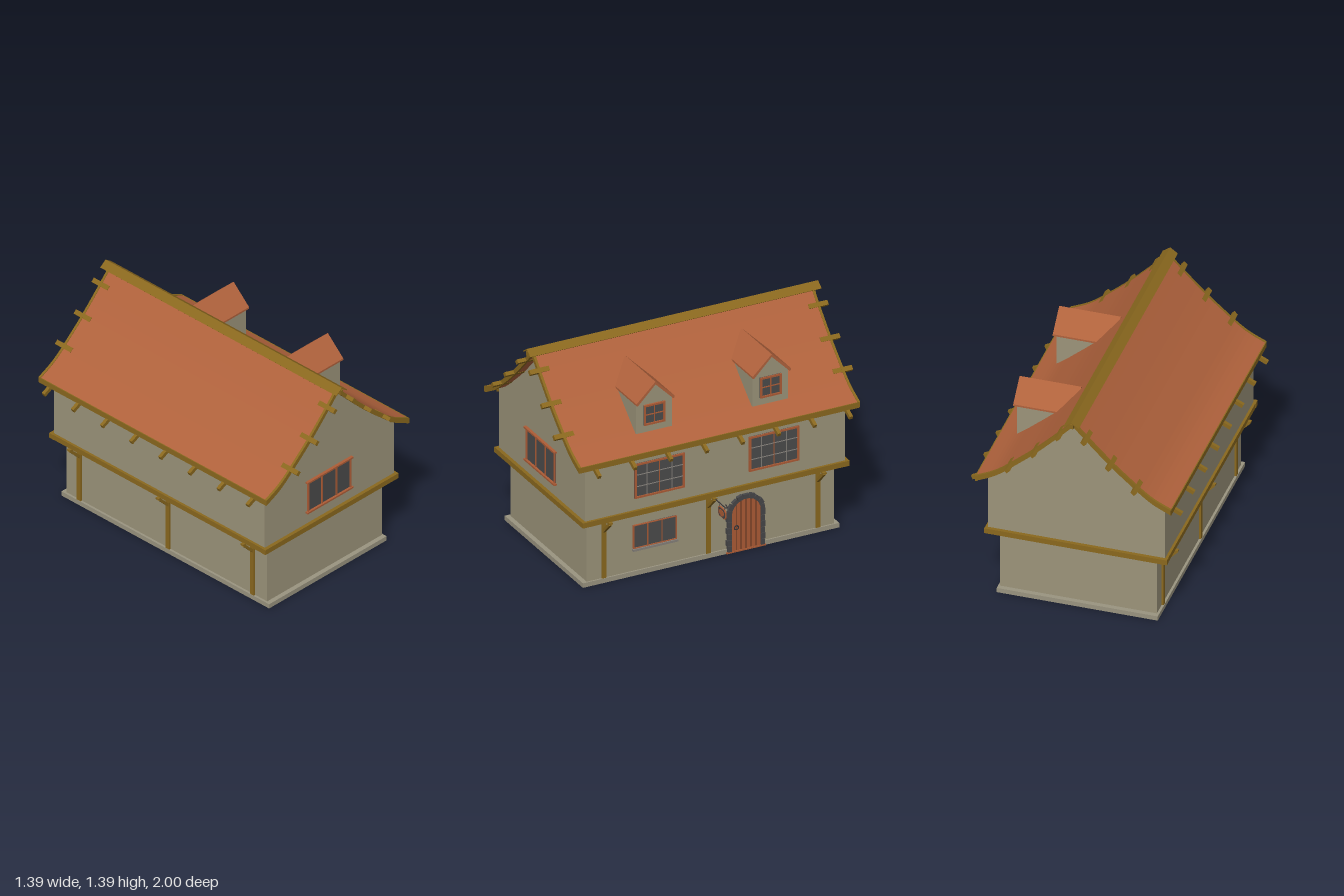
import * as THREE from 'three';

const mat = (name, color) => new THREE.MeshStandardMaterial({ name, color });
const M = {
  plaster: mat('plaster', 0x9c947a),
  stone: mat('plinthStone', 0x9a9480),
  wood: mat('oakBeam', 0x8a681e),
  tile: mat('roofTile', 0xb0623c),
  frame: mat('redTimber', 0xad5c36),
  gap: mat('darkBrown', 0x5c3320),
  glass: mat('darkGlass', 0x4b4b4b),
  lead: mat('leadGrey', 0x85807a),
  rock: mat('darkStone', 0x464648),
  iron: mat('iron', 0x3a3538),
};
const CX = -0.0425; // roof ridge and wall centre line

function add(parent, name, geo, material, x = 0, y = 0, z = 0) {
  const m = new THREE.Mesh(geo, material);
  m.name = name;
  m.position.set(x, y, z);
  parent.add(m);
  return m;
}
// box given by its limits
function box(parent, name, material, x0, x1, y0, y1, z0, z1) {
  return add(parent, name, new THREE.BoxGeometry(x1 - x0, y1 - y0, z1 - z0), material,
    (x0 + x1) / 2, (y0 + y1) / 2, (z0 + z1) / 2);
}
const V = (x, y) => new THREE.Vector2(x, y);
function prism(points, z0, z1) {
  return new THREE.ExtrudeGeometry(new THREE.Shape(points), { depth: z1 - z0, bevelEnabled: false })
    .translate(0, 0, z0);
}

// sweeping half profile of the roof: distance from ridge, height
const half = new THREE.SplineCurve([
  V(0, 1.375), V(0.085, 1.285), V(0.235, 1.135), V(0.36, 1.025), V(0.45, 0.95), V(0.52, 0.905), V(0.61, 0.863),
]).getPoints(18);
const roofLine = (drop, reach = 1) => [
  ...half.slice(1).reverse().map(p => V(CX - p.x, p.y - drop)),
  ...half.map(p => V(CX + p.x, p.y - drop)),
].filter(p => Math.abs(p.x - CX) < reach);
const roofBand = (top, bottom) => [...roofLine(top), ...roofLine(bottom).reverse()];

// window facing +z, centred on x,y at depth z
function makeWindow(parent, name, x, y, z, w, h, cols, rows, bar, barMat, rim = 0.01) {
  const g = new THREE.Group();
  g.name = name;
  g.position.set(x, y, z);
  parent.add(g);
  box(g, 'glass', M.glass, -w / 2, w / 2, -h / 2, h / 2, -0.004, 0.003);
  for (const s of [-1, 1]) {
    add(g, 'jamb', new THREE.BoxGeometry(rim, h, 0.014), M.frame, s * (w - rim) / 2, 0, 0.004);
    add(g, 'rail', new THREE.BoxGeometry(w, rim, 0.014), M.frame, 0, s * (h - rim) / 2, 0.004);
  }
  for (let i = 1; i < cols; i++)
    add(g, 'mullion', new THREE.BoxGeometry(bar, h, 0.008), i * 2 === cols ? M.frame : barMat, w * (i / cols - 0.5), 0, 0.004);
  for (let i = 1; i < rows; i++)
    add(g, 'glazingBar', new THREE.BoxGeometry(w, bar, 0.007), barMat, 0, h * (i / rows - 0.5), 0.004);
  return g;
}

// arched plank door in a ring of rough stones, facing +z
function makeDoor(parent, x, z) {
  const g = new THREE.Group();
  g.name = 'door';
  g.position.set(x, 0, z);
  parent.add(g);
  const r = 0.1, spring = 0.245;
  const arch = new THREE.Shape();
  arch.moveTo(-r, 0.005);
  arch.lineTo(r, 0.005);
  arch.lineTo(r, spring);
  arch.absarc(0, spring, r, 0, Math.PI, false);
  add(g, 'doorBack', new THREE.ExtrudeGeometry(arch, { depth: 0.02, bevelEnabled: false, curveSegments: 16 }), M.gap, 0, 0, -0.007);
  const top = u => spring + Math.sqrt(Math.max(0, r * r - u * u));
  for (let i = 0; i < 6; i++) {
    const a = -r + i * r / 3 + 0.003, b = a + r / 3 - 0.006;
    add(g, 'plank', prism([V(a, 0.008), V(b, 0.008), V(b, top(b)), V((a + b) / 2, top((a + b) / 2)), V(a, top(a))], 0.01, 0.016), M.frame);
  }
  for (const s of [-1, 1])
    for (let i = 0; i < 6; i++) {
      const w = 0.026 + (i % 2) * 0.005;
      add(g, 'jambStone', new THREE.BoxGeometry(w, 0.037, 0.026), M.rock, s * (0.098 + w / 2), 0.03 + i * 0.04, 0.007);
    }
  for (let i = 0; i < 9; i++) {
    const t = (i + 0.5) / 9 * Math.PI, l = 0.028 + (i % 2) * 0.004, R = 0.098 + l / 2;
    add(g, 'archStone', new THREE.BoxGeometry(l, 0.037, 0.026), M.rock, R * Math.cos(t), spring + R * Math.sin(t), 0.007).rotation.z = t;
  }
  add(g, 'threshold', new THREE.BoxGeometry(0.265, 0.01, 0.024), M.frame, 0, 0.007, 0.008);
  add(g, 'handle', new THREE.TorusGeometry(0.013, 0.004, 6, 14), M.iron, -0.066, 0.165, 0.018);
}

// dormer facing +z of its parent; depth runs back into the roof
function makeDormer(parent, x) {
  const g = new THREE.Group();
  g.name = 'dormer';
  g.position.x = x;
  parent.add(g);
  add(g, 'dormerWall', prism([V(-0.12, 0.93), V(0.12, 0.93), V(0.12, 1.13), V(0, 1.245), V(-0.12, 1.13)], 0.09, 0.44), M.plaster);
  add(g, 'dormerRoof', prism([V(-0.128, 1.127), V(-0.12, 1.122), V(0, 1.243), V(0.12, 1.122), V(0.128, 1.127),
    V(0.128, 1.139), V(0, 1.261), V(-0.128, 1.139)], 0.075, 0.46), M.tile);
  makeWindow(g, 'dormerWindow', 0, 1.045, 0.442, 0.142, 0.135, 2, 2, 0.006, M.frame, 0.012);
}

// hanging sign board on a curled bracket
function makeSign(parent) {
  const g = new THREE.Group();
  g.name = 'hangingSign';
  g.position.z = 0.012;
  parent.add(g);
  const path = new THREE.CatmullRomCurve3([[0.52, 0.428], [0.6, 0.428], [0.66, 0.428], [0.681, 0.432], [0.686, 0.443], [0.677, 0.451], [0.666, 0.446]]
    .map(p => new THREE.Vector3(p[0], p[1], 0)));
  add(g, 'bracket', new THREE.TubeGeometry(path, 32, 0.0035, 6), M.iron);
  const board = k => [[-0.049, -0.018], [-0.034, -0.032], [0.034, -0.032], [0.049, -0.018], [0.049, 0.018], [0.034, 0.032], [-0.034, 0.032], [-0.049, 0.018]]
    .map(p => V(0.626 + p[0] * k, 0.378 + p[1] * k));
  add(g, 'board', prism(board(1), -0.004, 0.004), M.frame);
  add(g, 'boardInset', prism(board(0.85), -0.005, 0.005), M.rock);
  add(g, 'boardOval', new THREE.CylinderGeometry(0.025, 0.025, 0.013, 20).rotateX(Math.PI / 2).scale(1.25, 0.85, 1), M.frame, 0.626, 0.378, 0);
  for (const s of [-1, 1]) add(g, 'hanger', new THREE.CylinderGeometry(0.002, 0.002, 0.024, 6), M.iron, 0.626 + s * 0.03, 0.418, 0);
}

export function createModel() {
  const house = new THREE.Group();
  house.name = 'timberHouse';

  // walls
  box(house, 'plinth', M.stone, -0.545, 0.46, 0, 0.03, -0.86, 0.86);
  box(house, 'lowerWalls', M.plaster, -0.53, 0.45, 0.03, 0.44, -0.83, 0.83);
  const eaveY = 0.86;
  add(house, 'upperWalls', prism([V(0.51, eaveY), V(0.51, 0.437), V(-0.595, 0.437), V(-0.595, eaveY), ...roofLine(0.025, 0.55)], -0.872, 0.872), M.plaster);

  // jetty beams round the upper floor
  for (const s of [-1, 1]) {
    box(house, 'jettyBeam', M.wood, -0.613, 0.527, 0.433, 0.467, s * 0.877 - 0.018, s * 0.877 + 0.018);
    add(house, 'jettyBeam', new THREE.BoxGeometry(0.036, 0.034, 1.72), M.wood, CX + s * 0.551, 0.45, 0);
  }

  // posts, brackets and braces on both long sides
  for (const s of [-1, 1])
    for (const z of [0.715, 0.015, -0.72]) {
      add(house, 'post', new THREE.BoxGeometry(0.02, 0.4, 0.03), M.wood, CX + s * 0.49, 0.23, z);
      add(house, 'bracket', new THREE.BoxGeometry(0.1, 0.01, 0.024), M.wood, CX + s * 0.537, 0.43, z);
      add(house, 'brace', new THREE.BoxGeometry(0.135, 0.018, 0.02), M.wood, CX + s * 0.528, 0.376, z).rotation.z = s * 0.79;
    }

  // roof: tiles, verge boards, eave boards
  add(house, 'roofTiles', prism(roofBand(0, 0.026), -0.93, 0.93), M.tile);
  for (const s of [-1, 1]) {
    add(house, 'vergeBoard', prism(roofBand(-0.004, 0.032), s * 0.936 - 0.008, s * 0.936 + 0.008), M.wood);
    add(house, 'eaveBoard', new THREE.BoxGeometry(0.014, 0.036, 1.88), M.wood, CX + s * 0.605, 0.847, 0);
    for (let i = 0; i < 8; i++)
      add(house, 'rafterEnd', new THREE.BoxGeometry(0.12, 0.025, 0.022), M.wood, CX + s * 0.6, 0.824, -0.86 + i * 0.241).rotation.z = -s * 0.45;
    for (const t of [-1, 1])
      for (const [d, y] of [[0.082, 1.276], [0.235, 1.123], [0.395, 0.983]])
        add(house, 'purlinEnd', new THREE.BoxGeometry(0.03, 0.024, 0.13), M.wood, CX + s * d, y, t * 0.935).rotation.z = -s * 0.77;
  }

  // ridge cap and ridge beam
  add(house, 'ridgeCap', prism([V(-0.09, 1.361), V(-0.086, 1.357), V(CX, 1.387), V(0.001, 1.357), V(0.005, 1.361), V(CX, 1.395)], -0.98, 0.975), M.wood);
  add(house, 'ridgeBeam', new THREE.BoxGeometry(0.022, 0.03, 1.95), M.wood, CX, 1.362, 0);

  // gable window with wide head and sill
  const gable = makeWindow(house, 'gableWindow', -0.05, 0.656, 0.873, 0.37, 0.222, 3, 1, 0.009, M.frame);
  for (const y of [-0.106, 0.108]) add(gable, 'ledge', new THREE.BoxGeometry(0.393, 0.011, 0.024), M.frame, 0, y, 0.006);

  // street side, laid out facing +z and turned to +x
  const street = new THREE.Group();
  street.name = 'streetSide';
  street.rotation.y = Math.PI / 2;
  house.add(street);
  for (const x of [-0.375, 0.393]) makeWindow(street, 'upperWindow', x, 0.66, 0.511, 0.335, 0.23, 4, 3, 0.004, M.lead, 0.012);
  const low = makeWindow(street, 'lowerWindow', -0.376, 0.257, 0.451, 0.29, 0.156, 3, 1, 0.006, M.frame, 0.005);
  add(low, 'sill', new THREE.BoxGeometry(0.302, 0.014, 0.024), M.lead, 0, -0.084, 0.008);
  makeDoor(street, 0.232, 0.45);
  for (const x of [-0.373, 0.407]) makeDormer(street, x);

  makeSign(house);
  return house;
}
